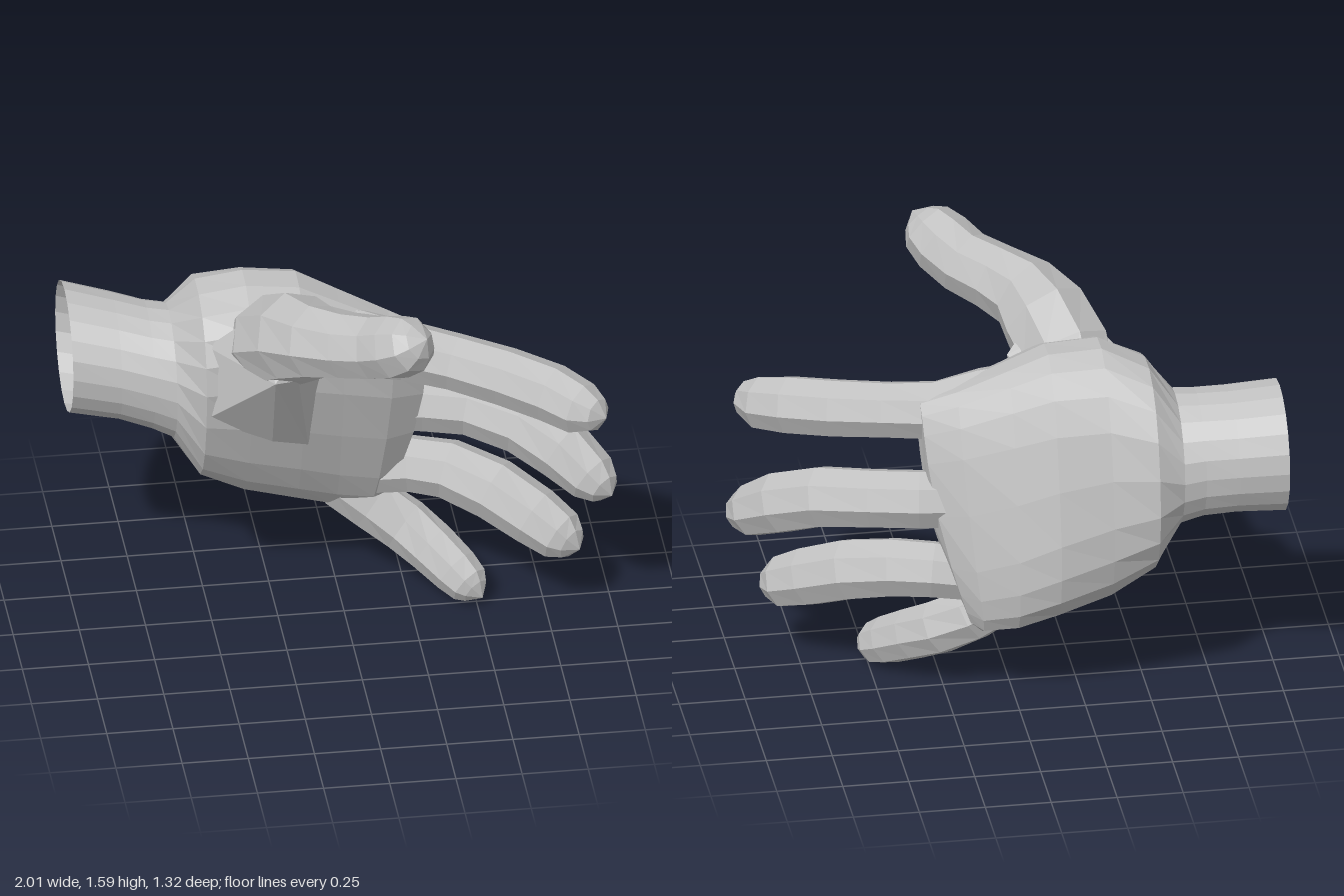
import * as THREE from 'three';
import { ConvexGeometry } from 'three/addons/geometries/ConvexGeometry.js';

const skin = new THREE.MeshStandardMaterial({ color: 0xc0c0c0, flatShading: true, side: THREE.DoubleSide });
skin.name = 'light grey';

function part(name, geo) {
  const mesh = new THREE.Mesh(geo, skin);
  mesh.name = name;
  return mesh;
}

// Skin a list of equal-sized rings; an optional apex point closes the far end
function loft(name, rings, apex) {
  const n = rings[0].length, pos = [], idx = [];
  rings.forEach(r => r.forEach(p => pos.push(p.x, p.y, p.z)));
  for (let i = 0; i < rings.length - 1; i++) {
    for (let j = 0; j < n; j++) {
      const k = (j + 1) % n, a = i * n + j, b = i * n + k, c = b + n, d = a + n;
      idx.push(a, b, c, a, c, d);
    }
  }
  if (apex) {
    const base = (rings.length - 1) * n;
    pos.push(apex.x, apex.y, apex.z);
    for (let j = 0; j < n; j++) idx.push(base + j, base + (j + 1) % n, rings.length * n);
  }
  const geo = new THREE.BufferGeometry();
  geo.setAttribute('position', new THREE.Float32BufferAttribute(pos, 3));
  geo.setIndex(idx);
  geo.computeVertexNormals();
  return part(name, geo);
}

// Tilted rounded section across x: [x, cy, cz, halfHeight, halfDepth, tilt, slant, exponent]
// slant pulls the little-finger side back toward the wrist
function section([x, cy, cz, a, b, tilt = 0, slant = 0, e = 2], n = 20) {
  const pts = [];
  for (let j = 0; j < n; j++) {
    const t = j / n * Math.PI * 2, c = Math.cos(t), s = Math.sin(t);
    const u = Math.sign(c) * Math.abs(c) ** (2 / e), v = Math.sign(s) * Math.abs(s) ** (2 / e);
    pts.push(new THREE.Vector3(
      x - slant * ((1 - u) / 2) ** 2,
      cy + a * u * Math.cos(tilt) - b * v * Math.sin(tilt),
      cz + a * u * Math.sin(tilt) + b * v * Math.cos(tilt)));
  }
  return pts;
}

// Eight-sided digit along [x, y, z, radius] stations, ending in a pointed tip
function digit(name, stations, sides = 8) {
  const c = stations.map(s => new THREE.Vector3(s[0], s[1], s[2]));
  const last = c.length - 1;
  const rings = c.map((p, i) => {
    const t = c[Math.min(i + 1, last)].clone().sub(c[Math.max(i - 1, 0)]).normalize();
    const u = new THREE.Vector3(0, 1, 0).addScaledVector(t, -t.y).normalize();
    const v = t.clone().cross(u);
    return Array.from({ length: sides }, (_, j) => {
      const w = j / sides * Math.PI * 2, r = stations[i][3];
      return p.clone().addScaledVector(u, r * Math.cos(w)).addScaledVector(v, r * Math.sin(w));
    });
  });
  const dir = c[last].clone().sub(c[last - 1]).normalize();
  return loft(name, rings, c[last].clone().addScaledVector(dir, 0.04));
}

export function createModel() {
  const hand = new THREE.Group();
  hand.name = 'hand';

  // Open wrist tube
  const wrist = [
    [-1, 1.0, -0.41, 0.25, 0.25],
    [-0.82, 0.975, -0.365, 0.24, 0.245],
    [-0.7, 0.95, -0.325, 0.245, 0.24],
    [-0.62, 0.93, -0.305, 0.26, 0.245]];
  hand.add(loft('wrist', wrist.map(s => section(s))));

  // Palm flaring from the wrist to the slanted knuckle row
  const palm = [
    wrist[3],
    [-0.52, 0.91, -0.29, 0.405, 0.3, 0.2, 0, 2.3],
    [-0.35, 0.89, -0.27, 0.495, 0.275, 0.25, 0, 2.4],
    [-0.15, 0.85, -0.27, 0.52, 0.255, 0.26, 0, 2.6],
    [0.0, 0.79, -0.26, 0.51, 0.21, 0.27, 0, 2.8],
    [0.19, 0.735, -0.235, 0.475, 0.16, 0.27, 0.07, 3],
    [0.32, 0.72, -0.215, 0.44, 0.1, 0.27, 0.16, 3]];
  hand.add(loft('palm', palm.map(s => section(s)), new THREE.Vector3(0.3, 0.72, -0.215)));

  // Four fingers curling forward
  hand.add(digit('indexFinger', [
    [-0.12, 1.12, -0.14, 0.16], [0.08, 1.11, -0.11, 0.135], [0.25, 1.075, -0.08, 0.115],
    [0.42, 1.055, -0.01, 0.11], [0.6, 1.03, 0.08, 0.113], [0.76, 1.005, 0.18, 0.113],
    [0.86, 0.98, 0.265, 0.103], [0.915, 0.98, 0.32, 0.065]]));
  hand.add(digit('middleFinger', [
    [0.15, 0.77, -0.23, 0.11], [0.33, 0.77, -0.205, 0.115], [0.5, 0.765, -0.16, 0.115],
    [0.68, 0.735, -0.06, 0.12], [0.82, 0.67, 0.04, 0.12],
    [0.92, 0.595, 0.135, 0.1], [0.96, 0.57, 0.185, 0.065]]));
  hand.add(digit('ringFinger', [
    [0.15, 0.47, -0.26, 0.105], [0.28, 0.485, -0.235, 0.11], [0.42, 0.48, -0.185, 0.115],
    [0.58, 0.435, -0.09, 0.12], [0.72, 0.365, 0.01, 0.115],
    [0.81, 0.315, 0.08, 0.1], [0.845, 0.3, 0.12, 0.065]]));
  hand.add(digit('littleFinger', [
    [0.02, 0.39, -0.3, 0.1], [0.14, 0.305, -0.27, 0.105], [0.26, 0.23, -0.215, 0.105],
    [0.35, 0.17, -0.14, 0.1], [0.43, 0.11, -0.06, 0.093],
    [0.475, 0.075, -0.01, 0.08], [0.495, 0.06, 0.015, 0.055]]));

  // Faceted mound and web joining the thumb to the palm
  const mound = [
    [-0.52, 0.88, -0.01], [-0.51, 1.18, -0.04], [-0.37, 1.02, 0.12], [-0.27, 0.77, 0.0],
    [-0.13, 0.72, -0.04], [-0.03, 1.25, -0.01], [-0.2, 1.15, 0.2], [-0.29, 1.16, 0.23],
    [-0.34, 1.36, 0.05], [-0.14, 1.34, 0.1], [-0.3, 1.0, -0.3]];
  hand.add(part('thumbMound', new ConvexGeometry(mound.map(p => new THREE.Vector3(...p)))));

  // Thumb
  hand.add(digit('thumb', [
    [-0.3, 1.08, -0.14, 0.14], [-0.26, 1.22, 0.02, 0.18],
    [-0.2, 1.31, 0.15, 0.175], [-0.14, 1.36, 0.27, 0.145], [-0.04, 1.39, 0.36, 0.13],
    [0.06, 1.42, 0.44, 0.125], [0.13, 1.465, 0.52, 0.125],
    [0.18, 1.505, 0.575, 0.108], [0.205, 1.53, 0.6, 0.07]]));

  return hand;
}
